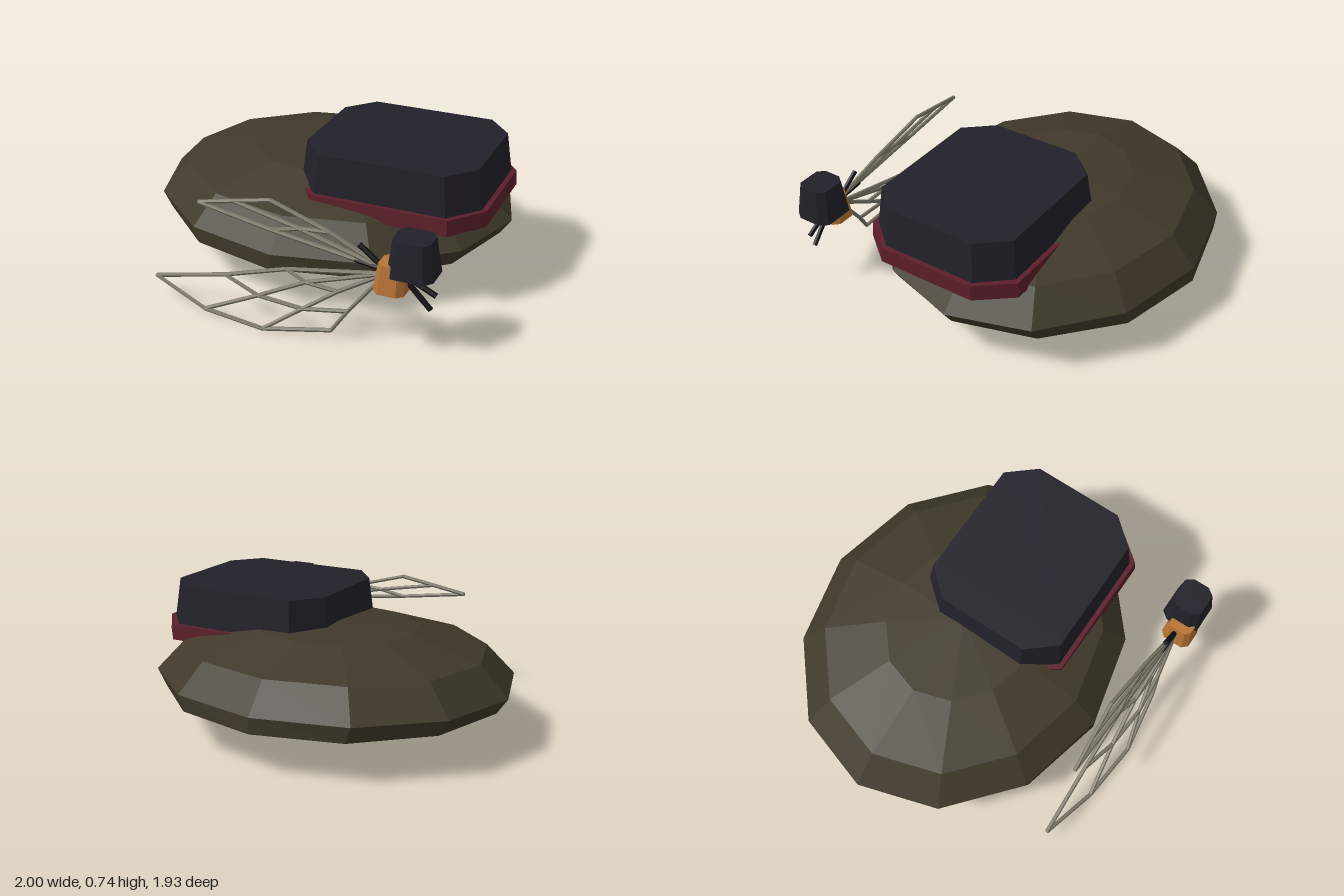
import * as THREE from 'three';

const material = (color) => new THREE.MeshStandardMaterial({ color, flatShading: true, side: THREE.DoubleSide });
const shellMat = material(0x40392b);
const blackMat = material(0x222029);
const bandMat = material(0x5c1f2b);
const orangeMat = material(0xb87436);
const wingMat = material(0x7d7869);
const legMat = material(0x141214);

function add(parent, name, geometry, mat) {
  const mesh = new THREE.Mesh(geometry, mat);
  mesh.name = name;
  parent.add(mesh);
  return mesh;
}

// Solid block with cut corners; each ring is [y, xMin, xMax, zMin, zMax, cutX, cutZ]
function cutCornerBlock(rings) {
  const pos = [], index = [];
  for (const [y, x0, x1, z0, z1, cx, cz] of rings) {
    const loop = [
      [x0 + cx, z1], [x1 - cx, z1], [x1, z1 - cz], [x1, z0 + cz],
      [x1 - cx, z0], [x0 + cx, z0], [x0, z0 + cz], [x0, z1 - cz],
    ];
    for (const [x, z] of loop) pos.push(x, y, z);
  }
  const top = (rings.length - 1) * 8;
  for (let r = 0; r < top; r += 8) {
    for (let i = 0; i < 8; i++) {
      const a = r + i, b = r + (i + 1) % 8;
      index.push(a, b, b + 8, a, b + 8, a + 8);
    }
  }
  for (let i = 1; i < 7; i++) index.push(top, top + i, top + i + 1, 0, i + 1, i);
  const g = new THREE.BufferGeometry();
  g.setAttribute('position', new THREE.Float32BufferAttribute(pos, 3));
  g.setIndex(index);
  g.computeVertexNormals();
  return g;
}

// Straight rod between two points
function rod(parent, name, a, b, radius, mat) {
  const p = new THREE.Vector3(...a), q = new THREE.Vector3(...b);
  const dir = q.clone().sub(p);
  const mesh = add(parent, name, new THREE.CylinderGeometry(radius, radius, dir.length(), 6), mat);
  mesh.position.copy(p).add(q).multiplyScalar(0.5);
  mesh.quaternion.setFromUnitVectors(new THREE.Vector3(0, 1, 0), dir.normalize());
}

// Wing frame: named points joined by chains of rods
function wing(name, points, chains) {
  const g = new THREE.Group();
  g.name = name;
  for (const chain of chains) {
    for (let i = 1; i < chain.length; i++) {
      rod(g, 'wingVein', points[chain[i - 1]], points[chain[i]], 0.011, wingMat);
    }
  }
  return g;
}

export function createModel() {
  const model = new THREE.Group();
  model.name = 'shellWithHatAndFly';

  // Open twelve-sided dome, its lowest ring pulled in sideways only
  const profile = [[1, 0.22], [1, 0.305], [0.845, 0.463], [0.465, 0.568], [0, 0.59]];
  const dome = new THREE.LatheGeometry(profile.map(([r, y]) => new THREE.Vector2(r, y)), 12);
  const p = dome.attributes.position;
  for (let i = 0; i < p.count; i++) {
    if (p.getY(i) < 0.25) p.setX(i, p.getX(i) * 0.94);
    p.setZ(i, p.getZ(i) * 0.855 - 0.115);
  }
  add(model, 'domeShell', dome, shellMat);

  // Large hat: crown and band
  const hat = new THREE.Group();
  hat.name = 'largeHat';
  add(hat, 'crown', cutCornerBlock([
    [0.443, -0.045, 0.955, -0.425, 0.44, 0.14, 0.165],
    [0.74, -0.01, 0.915, -0.39, 0.41, 0.13, 0.15],
  ]), blackMat);
  add(hat, 'hatBand', cutCornerBlock([
    [0.447, -0.06, 0.973, -0.445, 0.462, 0.145, 0.18],
    [0.53, -0.06, 0.97, -0.44, 0.455, 0.145, 0.18],
  ]), bandMat);
  model.add(hat);

  // Small fly in front of the dome
  const fly = new THREE.Group();
  fly.name = 'fly';
  add(fly, 'flyBody', cutCornerBlock([
    [0.337, 0.62, 0.775, 0.765, 0.935, 0.03, 0.03],
    [0.48, 0.638, 0.765, 0.787, 0.915, 0.025, 0.025],
  ]), orangeMat);
  add(fly, 'flyHat', cutCornerBlock([
    [0.43, 0.68, 0.91, 0.718, 0.932, 0.035, 0.045],
    [0.615, 0.7, 0.885, 0.742, 0.91, 0.03, 0.04],
  ]), blackMat);

  // Legs, each from the body outwards
  const legs = [
    [[0.66, 0.42], [0.52, 0.525]], [[0.66, 0.42], [0.5, 0.44]],
    [[0.74, 0.42], [0.91, 0.335]], [[0.74, 0.41], [0.885, 0.255]],
  ];
  for (const [a, b] of legs) rod(fly, 'flyLeg', [...a, 0.84], [...b, 0.835], 0.014, legMat);

  // Upper wing
  fly.add(wing('upperWing', {
    root: [0.66, 0.42, 0.84], tip: [-0.35, 0.565, 0.815], peak: [0.035, 0.635, 0.785],
    lead: [0.36, 0.54, 0.81], rear: [0.06, 0.5, 0.83],
    split: [-0.16, 0.6, 0.80], mid: [0.2, 0.53, 0.815],
  }, [
    ['tip', 'split', 'peak', 'lead', 'root'], ['tip', 'rear', 'root'],
    ['split', 'mid', 'root'], ['lead', 'mid', 'rear'],
  ]));

  // Lower wing
  fly.add(wing('lowerWing', {
    root: [0.66, 0.4, 0.84], tip: [-0.605, 0.105, 0.84],
    edgeA: [-0.28, 0.027, 0.92], edgeB: [0.06, 0.013, 0.953], edgeC: [0.405, 0.06, 0.9],
    upA: [-0.21, 0.19, 0.825], upB: [0.13, 0.295, 0.82],
    midA: [0, 0.145, 0.875], midB: [0.25, 0.14, 0.895], midC: [0.48, 0.17, 0.875],
    inner: [0.25, 0.265, 0.85], innerB: [0.42, 0.255, 0.855],
  }, [
    ['tip', 'edgeA', 'edgeB', 'edgeC', 'midC', 'root'], ['tip', 'upA', 'upB', 'root'],
    ['edgeA', 'midA', 'inner', 'root'], ['edgeB', 'midB', 'innerB', 'root'],
    ['upA', 'midA', 'midB', 'midC'], ['upB', 'inner', 'innerB'],
  ]));
  model.add(fly);

  return model;
}
